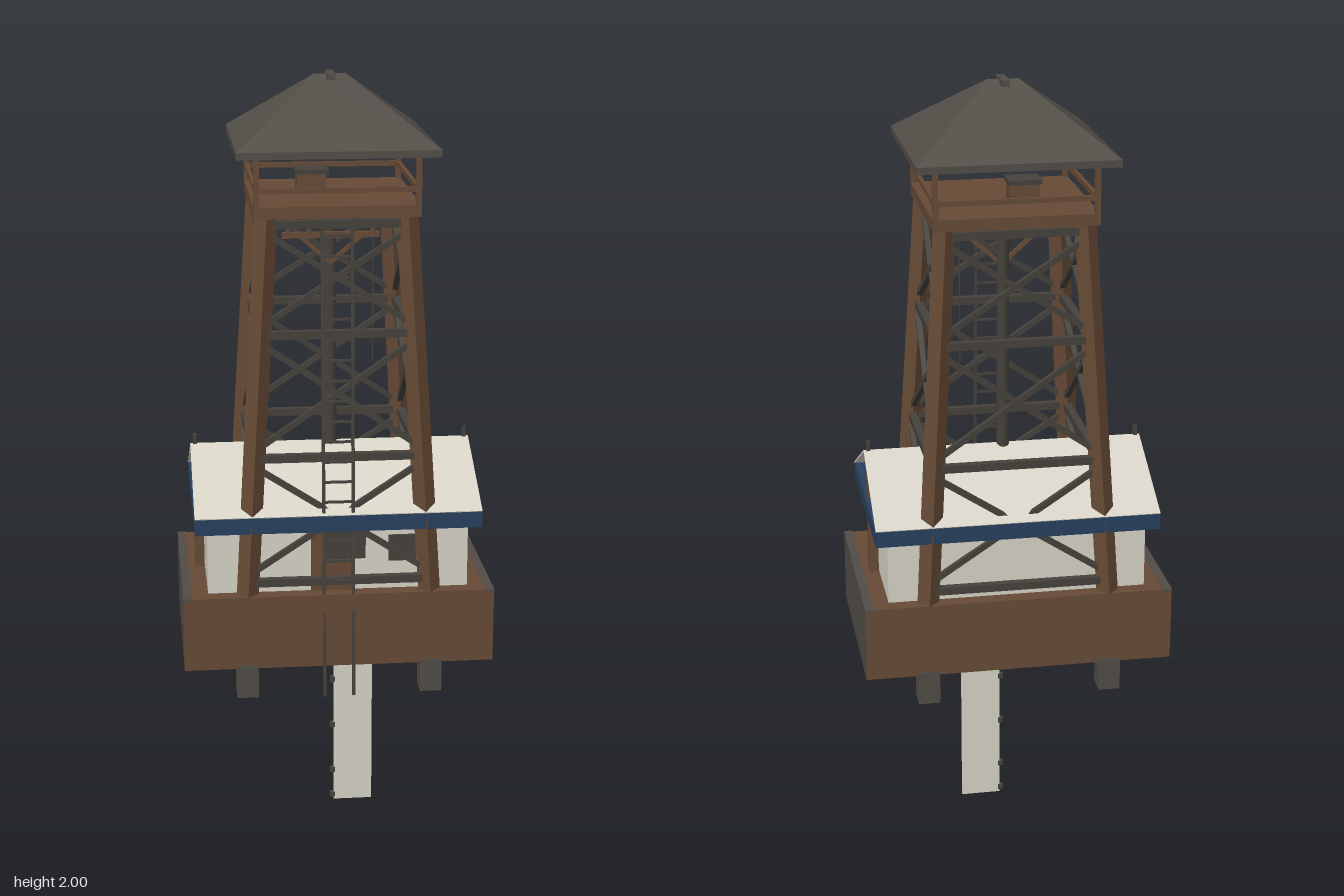
import * as THREE from 'three';
import { ConvexGeometry } from 'three/addons/geometries/ConvexGeometry.js';

const mat = (name, color, side = THREE.FrontSide) => {
  const m = new THREE.MeshStandardMaterial({ color, side });
  m.name = name;
  return m;
};

export function createModel() {
  const wood = mat('brown timber', 0x664a35);
  const grey = mat('weathered grey', 0x514c46);
  const iron = mat('dark brace', 0x45413c);
  const blue = mat('navy trim', 0x27405f);
  const pale = mat('pale panel', 0xd6d2c6, THREE.DoubleSide);

  const model = new THREE.Group();
  model.name = 'watchtower';
  const V = (x, y, z) => new THREE.Vector3(x, y, z);
  const add = (name, geo, m, parent = model) => {
    const mesh = new THREE.Mesh(geo, m);
    mesh.name = name;
    parent.add(mesh);
    return mesh;
  };
  const group = (name) => {
    const g = new THREE.Group();
    g.name = name;
    model.add(g);
    return g;
  };
  // Box given by its lower and upper bounds
  const box = (name, x0, x1, y0, y1, z0, z1, m, parent) => {
    const b = add(name, new THREE.BoxGeometry(x1 - x0, y1 - y0, z1 - z0), m, parent);
    b.position.set((x0 + x1) / 2, (y0 + y1) / 2, (z0 + z1) / 2);
    return b;
  };
  // Square beam between two points
  const beam = (name, a, b, w, m, parent, d = w) => {
    const s = add(name, new THREE.BoxGeometry(w, d, a.distanceTo(b)), m, parent);
    s.position.copy(a).add(b).multiplyScalar(0.5);
    s.lookAt(b);
    return s;
  };

  // Base with grey ends, standing on four feet
  box('base', -0.4, 0.4, 0.51, 0.705, -0.262, 0.262, [grey, grey, wood, wood, wood, wood]);
  for (const s of [-1, 1]) {
    box('endCap', s * 0.389 - 0.011, s * 0.389 + 0.011, 0.7, 0.707, -0.264, 0.264, grey);
    for (const t of [-1, 1])
      box('foot', s * 0.238 - 0.028, s * 0.238 + 0.028, 0.43, 0.52, t * 0.237 - 0.028, t * 0.237 + 0.028, grey);
  }

  // Hanging sheet with hinges below the base
  box('hangingSheet', 0.01, 0.115, 0, 0.515, -0.003, 0.003, pale);
  for (const y of [0.015, 0.09, 0.225, 0.36]) box('hinge', 0, 0.014, y - 0.007, y + 0.007, -0.006, 0.006, iron);

  // Lower hall: walls, navy eave and open-ended roof
  const hall = group('hall');
  box('walls', -0.335, 0.335, 0.7, 0.875, -0.222, 0.222, pale, hall);
  box('eave', -0.367, 0.367, 0.872, 0.914, -0.252, 0.252, blue, hall);
  for (const s of [-1, 1]) {
    beam('roofPanel', V(0, 1.04, 0), V(0, 0.914, s * 0.252), 0.734, pale, hall, 0.005);
    box('endPost', s * 0.348 - 0.012, s * 0.348 + 0.012, 0.7, 0.985, -0.018, 0.018, wood, hall);
    box('finial', s * 0.355 - 0.005, s * 0.355 + 0.005, 0.98, 1.068, -0.005, 0.005, iron, hall);
  }
  const gable = new THREE.Shape([[-0.135, 0.914], [0.135, 0.914], [0, 1.038]].map((p) => new THREE.Vector2(...p)));
  add('innerGable', new THREE.ShapeGeometry(gable), pale, hall).rotation.y = Math.PI / 2;
  box('door', -0.07, 0.035, 0.705, 0.872, 0.22, 0.227, wood, hall);
  box('doorPanel', -0.035, 0.07, 0.79, 0.872, 0.222, 0.229, iron, hall);
  box('shutter', 0.13, 0.2, 0.78, 0.85, 0.22, 0.227, iron, hall);

  // Tapered tower legs
  const tower = group('tower');
  const half = (y) => 0.234 - (y - 0.705) * 0.061;
  const corner = (sx, y, sz) => V(sx * half(y), y, sz * (half(y) + 0.002));
  for (const sx of [-1, 1])
    for (const sz of [-1, 1])
      beam('leg', corner(sx, 0.7, sz), corner(sx, 1.68, sz), 0.04, wood, tower);

  // Horizontal rails and cross braces on all four sides
  const levels = [0.735, 1.06, 1.375, 1.65];
  const sides = [[[-1, 1], [1, 1]], [[1, 1], [1, -1]], [[1, -1], [-1, -1]], [[-1, -1], [-1, 1]]];
  for (const [a, b] of sides)
    levels.forEach((y, i) => {
      const p = (c, h) => corner(c[0], h, c[1]);
      beam('rail', p(a, y), p(b, y), 0.02, iron, tower);
      if (i === 3) return;
      const top = levels[i + 1] - 0.02;
      beam('brace', p(a, y + 0.02), p(b, top), 0.014, iron, tower);
      beam('brace', p(b, y + 0.02), p(a, top), 0.014, iron, tower);
    });

  // Central mast with crossarm and insulators
  const mast = add('mast', new THREE.CylinderGeometry(0.016, 0.018, 0.98, 10), iron, tower);
  mast.position.set(0, 1.19, 0);
  box('crossarm', -0.125, 0.125, 1.585, 1.6, 0.016, 0.03, wood, tower);
  for (const s of [-1, 1]) {
    beam('armStrut', V(s * 0.08, 1.59, 0.02), V(0, 1.52, 0.02), 0.01, wood, tower);
    for (const x of [0.055, 0.108]) {
      const pin = add('insulator', new THREE.CylinderGeometry(0.005, 0.007, 0.035, 8), wood, tower);
      pin.position.set(s * x, 1.617, 0.023);
    }
  }
  box('line', 0.107, 0.11, 1.26, 1.59, 0.022, 0.025, iron, tower);
  box('topBracket', -0.01, 0.01, 1.642, 1.656, -0.065, 0, iron, tower);

  // Ladder leaning on the front side
  const ladder = group('ladder');
  const ladderAt = (x, y) => V(x, y, 0.272 - (y - 0.43) * 0.061);
  for (const x of [-0.039, 0.036]) beam('ladderRail', ladderAt(x, 0.43), ladderAt(x, 1.67), 0.008, iron, ladder);
  for (let y = 0.74; y < 1.66; y += 0.052) beam('rung', ladderAt(-0.039, y), ladderAt(0.036, y), 0.006, iron, ladder);

  // Lookout platform, posts and railing
  const lookout = group('lookout');
  box('platform', -0.207, 0.207, 1.668, 1.698, -0.207, 0.207, wood, lookout);
  for (const s of [-1, 1]) {
    for (const t of [-1, 1])
      box('cornerPost', s * 0.2 - 0.007, s * 0.2 + 0.007, 1.69, 1.83, t * 0.2 - 0.007, t * 0.2 + 0.007, wood, lookout);
    box('handrail', -0.205, 0.205, 1.73, 1.743, s * 0.2 - 0.005, s * 0.2 + 0.005, wood, lookout);
    box('handrail', s * 0.2 - 0.005, s * 0.2 + 0.005, 1.73, 1.743, -0.205, 0.205, wood, lookout);
  }
  box('chest', -0.083, -0.008, 1.695, 1.745, -0.065, -0.002, wood, lookout);
  box('chestLid', -0.088, -0.003, 1.743, 1.755, -0.07, 0.002, iron, lookout);

  // Hipped roof with a short ridge and cap
  const pts = [V(-0.04, 1.996, 0), V(0.04, 1.996, 0)];
  for (const x of [-0.25, 0.25])
    for (const z of [-0.248, 0.248]) pts.push(V(x, 1.82, z), V(x, 1.838, z));
  add('hippedRoof', new ConvexGeometry(pts), grey, lookout);
  box('ridgeCap', -0.01, 0.01, 1.984, 2, -0.045, 0.042, grey, lookout);

  return model;
}
